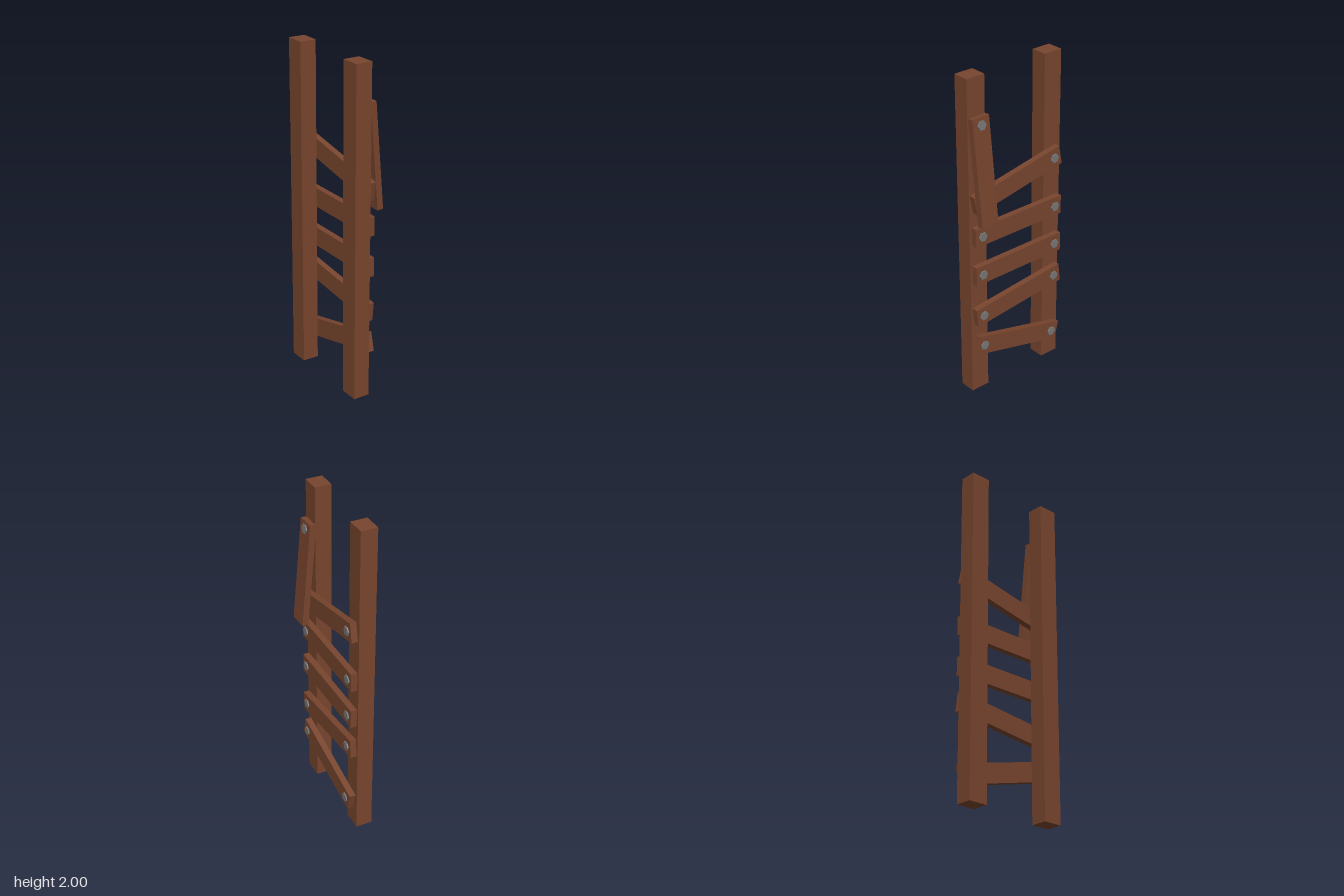
import * as THREE from 'three';

const wood = new THREE.MeshStandardMaterial({ color: 0x78452e, flatShading: true });
const metal = new THREE.MeshStandardMaterial({ color: 0x777777, flatShading: true });

const THICK = 0.038, WIDTH = 0.116, LENGTH = 0.635;

// Hexagonal bolt head facing +x
function makeBolt(y, z) {
  const geometry = new THREE.CylinderGeometry(0.029, 0.029, 0.016, 6);
  geometry.rotateZ(-Math.PI / 2);
  const bolt = new THREE.Mesh(geometry, metal);
  bolt.name = 'bolt';
  bolt.position.set(THICK / 2, y, z);
  return bolt;
}

function makeBoard(name, height, depth) {
  const group = new THREE.Group();
  group.name = name;
  const board = new THREE.Mesh(new THREE.BoxGeometry(THICK, height, depth), wood);
  board.name = 'board';
  group.add(board);
  return group;
}

export function createModel() {
  const model = new THREE.Group();
  model.name = 'brokenLadder';

  // Two square posts
  for (const side of [-1, 1]) {
    const post = new THREE.Mesh(new THREE.BoxGeometry(0.1, 2, 0.12), wood);
    post.name = side > 0 ? 'frontPost' : 'backPost';
    post.position.set(-0.05, 1, side * 0.273);
    model.add(post);
  }

  // Rungs bolted at both ends: height, z offset, tilt
  const rungs = [
    [0.255, 0.006, -0.245],
    [0.557, 0, 0.106],
    [0.805, 0, 0],
    [1.054, 0, 0],
    [1.318, 0.004, 0.19],
  ];
  for (const [y, z, tilt] of rungs) {
    const rung = makeBoard('rung', WIDTH, LENGTH);
    rung.add(makeBolt(0, 0.27), makeBolt(0, -0.27));
    rung.position.set(THICK / 2, y, z);
    rung.rotation.x = tilt;
    model.add(rung);
  }

  // Loose rung hanging from its single remaining bolt
  const loose = makeBoard('looseRung', LENGTH, WIDTH);
  loose.add(makeBolt(0.272, 0));
  loose.position.set(0.045, 1.46, 0.264);
  loose.rotation.set(0.012, 0.03, 0.095);
  model.add(loose);

  return model;
}
